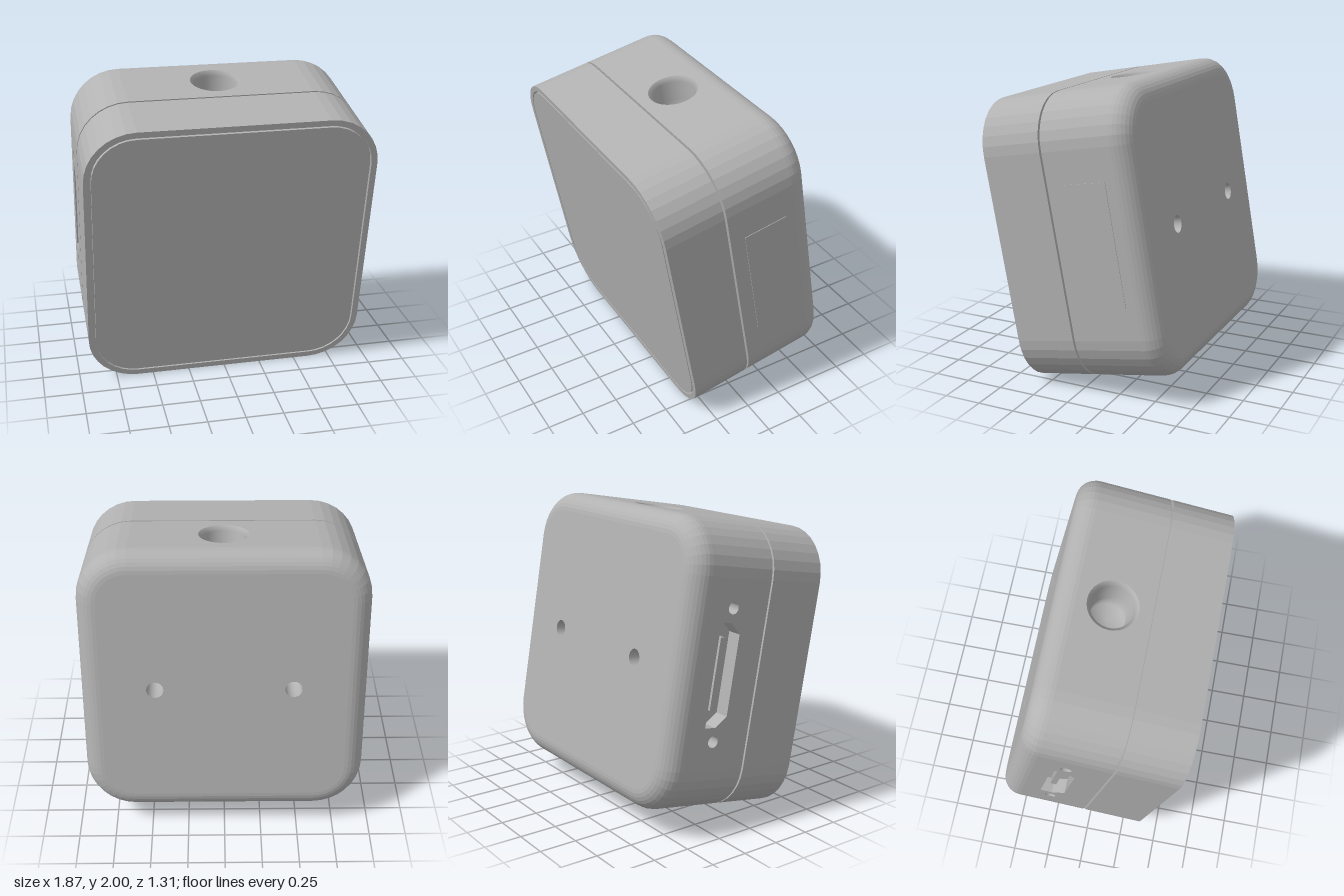
import * as THREE from 'three';

const HALF = 0.935, CORNER = 0.33, DEPTH = 1.02, FILLET = 0.13, SEAM = 0.405, GAP = 0.014, STEPS = 8;

// Rounded square, counter-clockwise, half size h and corner radius r
function outline(h, r) {
  const pts = [];
  for (let k = 0; k < 4; k++) {
    const cx = (k === 0 || k === 3 ? 1 : -1) * (h - r), cy = (k < 2 ? 1 : -1) * (h - r);
    for (let i = 0; i <= STEPS; i++) {
      const a = (k + i / STEPS) * Math.PI / 2;
      pts.push(new THREE.Vector2(cx + r * Math.cos(a), cy + r * Math.sin(a)));
    }
  }
  return pts;
}

// Faceted skin through rounded-square rings; cornersOnly leaves the four flats open
function loft(rings, cornersOnly = false) {
  const pos = [];
  const loops = rings.map(([inset, z]) =>
    outline(HALF - inset, CORNER - inset).map(p => [p.x, p.y, z]));
  for (let i = 0; i + 1 < loops.length; i++) {
    const A = loops[i], B = loops[i + 1], n = A.length;
    for (let j = 0; j < n; j++) {
      if (cornersOnly && j % (STEPS + 1) === STEPS) continue;
      const k = (j + 1) % n;
      pos.push(...A[j], ...B[j], ...B[k], ...A[j], ...B[k], ...A[k]);
    }
  }
  const g = new THREE.BufferGeometry();
  g.setAttribute('position', new THREE.Float32BufferAttribute(pos, 3));
  g.computeVertexNormals();
  return g;
}

function circle(x, y, r) {
  const pts = [];
  for (let i = 0; i < 32; i++) {
    const a = i * Math.PI / 16;
    pts.push(new THREE.Vector2(x + r * Math.cos(a), y + r * Math.sin(a)));
  }
  return pts;
}

function shapeWith(points, holes = []) {
  const s = new THREE.Shape(points);
  s.holes = holes.map(h => new THREE.Path(h));
  return s;
}

function rect(x0, y0, x1, y1) {
  return [[x0, y0], [x1, y0], [x1, y1], [x0, y1]].map(p => new THREE.Vector2(...p));
}

// Blind hole sunk along -y from a profile of [radius, depth]
function well(profile) {
  return new THREE.LatheGeometry(profile.map(([r, d]) => new THREE.Vector2(r, -d)), 32);
}

export function createModel() {
  const grey = new THREE.MeshStandardMaterial({ color: 0xb2b2b2, side: THREE.DoubleSide });
  grey.name = 'grey plastic';
  const body = new THREE.Group();
  body.name = 'tiltedCase';

  function add(name, geo, parent = body, x = 0, y = 0, z = 0) {
    const m = new THREE.Mesh(geo, grey);
    m.name = name;
    m.position.set(x, y, z);
    parent.add(m);
    return m;
  }
  const slab = (shape, depth) =>
    new THREE.ExtrudeGeometry(shape, { depth, bevelEnabled: false }).translate(0, 0, -depth);

  // Front half: bezel frame, inset panel and the recessed core seen in the gaps
  add('frontBezel', slab(shapeWith(outline(HALF, CORNER), [outline(0.896, 0.291)]), SEAM));
  add('frontPanel', slab(shapeWith(outline(0.886, 0.281)), 0.1));
  add('seamCore', slab(shapeWith(outline(0.9, 0.295)), 0.45), body, 0, 0, -0.03);

  // Rear half: lip, rounded corners, filleted back edge
  const start = SEAM + GAP, end = DEPTH - FILLET;
  add('rearLip', loft([[0.04, -start], [0, -start]]));
  add('rearCorners', loft([[0, -start], [0, -end]], true));
  const edge = [];
  for (let i = 0; i <= 8; i++) {
    const a = i * Math.PI / 16;
    edge.push([FILLET * (1 - Math.cos(a)), -end - FILLET * Math.sin(a)]);
  }
  add('backFillet', loft(edge));

  // Back face with two mounting holes
  const mounts = [-0.45, 0.45];
  const back = shapeWith(outline(HALF - FILLET, CORNER - FILLET), mounts.map(x => circle(x, 0, 0.056)));
  add('backFace', new THREE.ShapeGeometry(back).rotateY(Math.PI), body, 0, 0, -DEPTH);
  for (const x of mounts) {
    add('mountingHole', well([[0.056, 0], [0.056, 0.2], [0, 0.2]]).rotateX(-Math.PI / 2), body, x, 0, -DEPTH);
  }

  // Flat side of the rear half; inside its group +y points outward
  const half = HALF - CORNER;
  function side(name, turn, holes) {
    const g = new THREE.Group();
    g.name = name;
    g.rotation.z = turn;
    body.add(g);
    const s = shapeWith(rect(-half, start, half, end), holes);
    add(name + 'Wall', new THREE.ShapeGeometry(s).rotateX(-Math.PI / 2), g, 0, HALF, 0);
    return g;
  }

  // Top with a countersunk, stepped socket
  const top = side('top', 0, [circle(0, 0.66, 0.163)]);
  add('topSocket', well([[0.163, 0], [0.138, 0.03], [0.138, 0.17], [0.116, 0.17], [0.116, 0.27], [0, 0.27]]),
    top, 0, HALF, -0.66);

  side('bottom', Math.PI, []);

  // Connector side: chamfered slot between two screw holes
  const mid = 0.69;
  const slot = [[-0.33, 0.77], [-0.33, 0.69], [-0.26, 0.61], [0.26, 0.61], [0.33, 0.69], [0.33, 0.77]]
    .map(p => new THREE.Vector2(...p));
  const screws = [-0.42, 0.42];
  const port = side('connectorSide', Math.PI / 2, [slot, ...screws.map(s => circle(s, mid, 0.038))]);
  add('slotWalls', slab(shapeWith(rect(-0.36, 0.58, 0.36, 0.8), [slot]), 0.1).rotateX(-Math.PI / 2),
    port, 0, HALF - 0.001, 0);
  add('slotFloor', new THREE.BoxGeometry(0.72, 0.01, 0.22), port, 0, HALF - 0.105, -mid);
  add('slotTongue', new THREE.BoxGeometry(0.46, 0.06, 0.04), port, 0, HALF - 0.07, -mid - 0.01);
  for (const s of screws) {
    add('screwHole', well([[0.038, 0], [0.038, 0.12], [0, 0.12]]), port, s, HALF, -mid);
  }

  // Opposite side: thin raised cover plate
  const cover = side('coverSide', -Math.PI / 2, []);
  add('coverPlate', new THREE.BoxGeometry(0.79, 0.008, 0.3), cover, 0, HALF, -0.67);

  // Lean the case back to front by ten degrees, resting on its lower front edge
  const tilt = Math.PI / 18;
  body.rotation.x = tilt;
  body.position.set(0, HALF * Math.cos(tilt), 0.33 + HALF * Math.sin(tilt));

  const model = new THREE.Group();
  model.name = 'roundedCase';
  model.add(body);
  return model;
}
